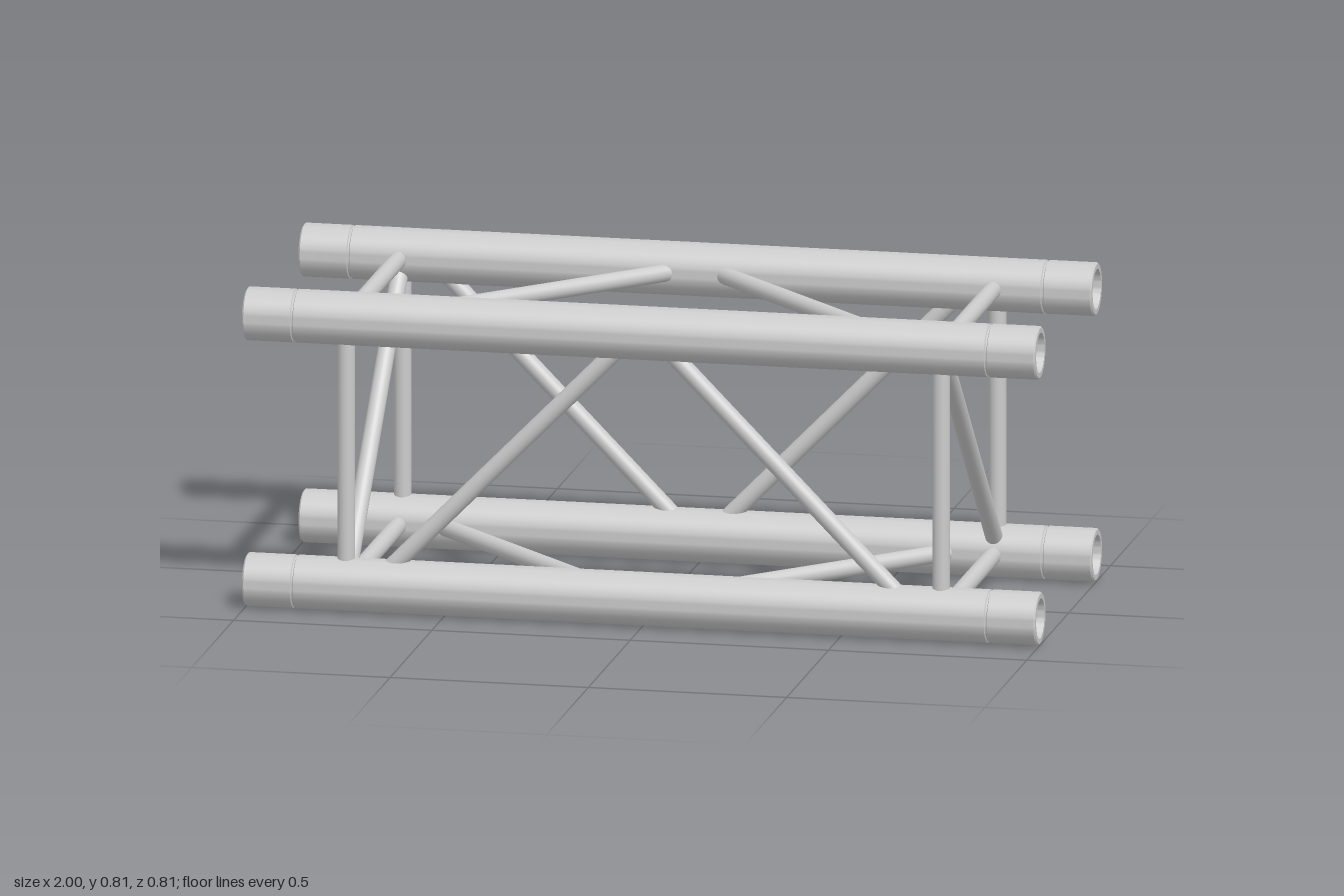
import * as THREE from 'three';
import { toCreasedNormals } from 'three/addons/utils/BufferGeometryUtils.js';

const HALF = 0.3375;      // chord centre offset from the truss axis
const MID_Y = 0.404;      // height of the truss axis
const CHORD_R = 0.0665;
const STRUT_R = 0.0218;
const FRAME_X = 0.75;     // end frames
const INNER_X = 0.022, OUTER_X = 0.684; // ends of the face diagonals

const material = new THREE.MeshStandardMaterial({ color: 0xcccccc });

// Main tube: conical sockets in both ends, chamfered rims, thin joint grooves
function chordGeometry() {
  const r = CHORD_R;
  const half = [
    [0, 0.88], [0.042, 0.88], [0.05, 1], [0.0625, 1], [r, 0.996],
    [r, 0.879], [r - 0.004, 0.877], [r - 0.004, 0.873], [r, 0.871],
  ];
  const points = [
    ...half.map(([x, y]) => new THREE.Vector2(x, -y)),
    ...half.slice().reverse().map(([x, y]) => new THREE.Vector2(x, y)),
  ];
  const geometry = new THREE.LatheGeometry(points, 48);
  geometry.rotateZ(-Math.PI / 2);
  return toCreasedNormals(geometry, 0.4);
}

export function createModel() {
  const truss = new THREE.Group();
  truss.name = 'boxTruss';

  // Corner position: sy and sz are -1 or 1
  const corner = (x, sy, sz) => new THREE.Vector3(x, MID_Y + sy * HALF, sz * HALF);

  // Round bar between two points
  function strut(name, a, b) {
    const dir = b.clone().sub(a);
    const mesh = new THREE.Mesh(
      new THREE.CylinderGeometry(STRUT_R, STRUT_R, dir.length(), 24), material);
    mesh.position.copy(a).add(b).multiplyScalar(0.5);
    mesh.quaternion.setFromUnitVectors(new THREE.Vector3(0, 1, 0), dir.normalize());
    mesh.name = name;
    truss.add(mesh);
  }

  // Four chords
  const tube = chordGeometry();
  for (const sy of [-1, 1]) for (const sz of [-1, 1]) {
    const chord = new THREE.Mesh(tube, material);
    chord.name = (sy > 0 ? 'upper' : 'lower') + (sz > 0 ? 'Front' : 'Back') + 'Chord';
    chord.position.copy(corner(0, sy, sz));
    truss.add(chord);
  }

  // End frames: a square of struts with one diagonal, opposite at each end
  for (const s of [-1, 1]) {
    const x = s * FRAME_X;
    for (const t of [-1, 1]) {
      strut('frameUpright', corner(x, -1, t), corner(x, 1, t));
      strut('frameCrossbar', corner(x, t, -1), corner(x, t, 1));
    }
    strut('frameDiagonal', corner(x, 1, s), corner(x, -1, -s));
  }

  // Face diagonals: two per face, meeting near the middle of one chord
  const faces = [
    { name: 'frontDiagonal', outer: [-1, 1], inner: [1, 1] },
    { name: 'backDiagonal', outer: [1, -1], inner: [-1, -1] },
    { name: 'topDiagonal', outer: [1, 1], inner: [1, -1] },
    { name: 'bottomDiagonal', outer: [-1, -1], inner: [-1, 1] },
  ];
  for (const { name, outer, inner } of faces) for (const s of [-1, 1]) {
    strut(name, corner(s * OUTER_X, ...outer), corner(s * INNER_X, ...inner));
  }

  return truss;
}
